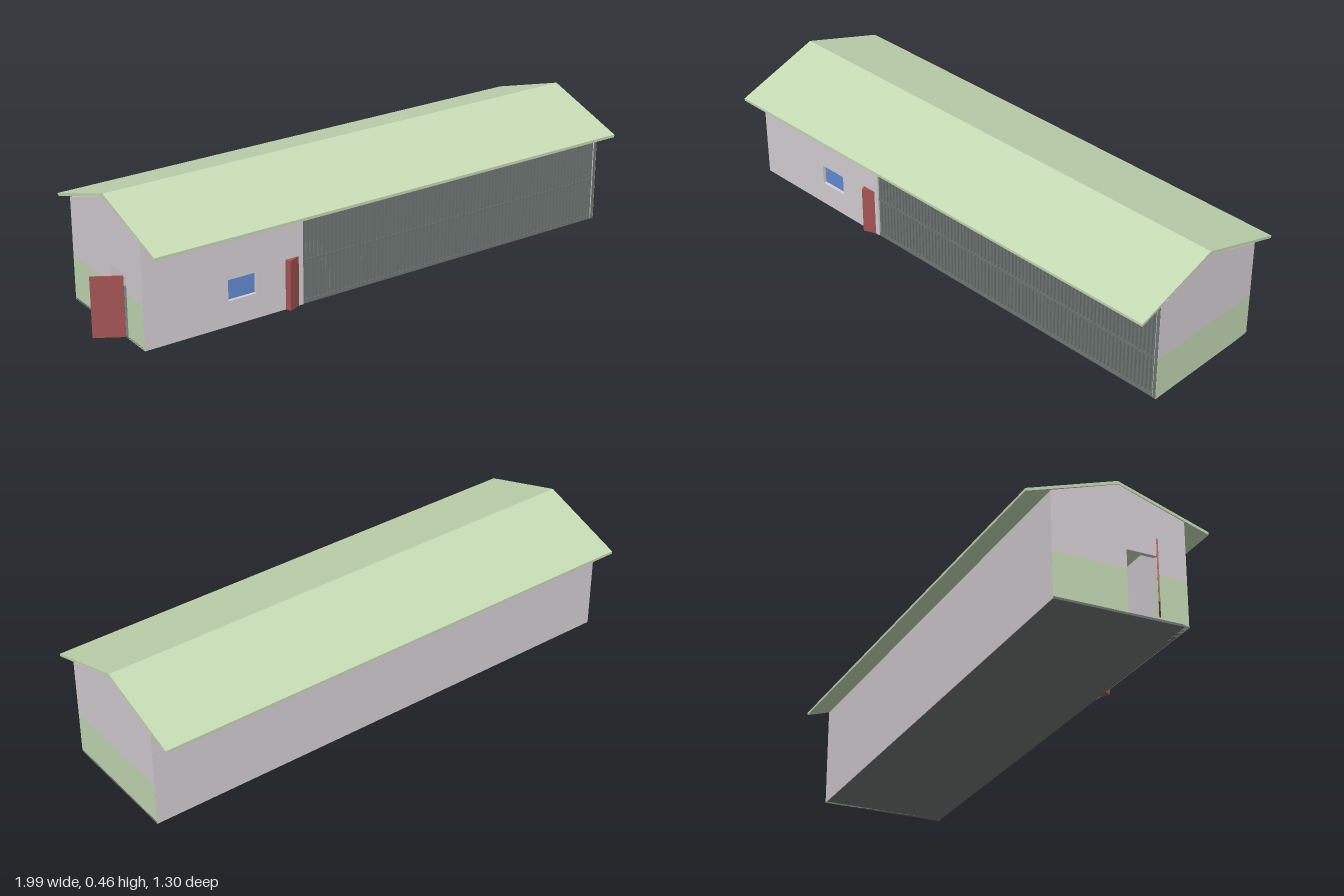
import * as THREE from 'three';

const mat = (name, color, side = THREE.FrontSide) => {
  const m = new THREE.MeshStandardMaterial({ color, side });
  m.name = name;
  return m;
};

export function createModel() {
  const wallPaint = mat('pale wall', 0xd6d0d5);
  const green = mat('pale green', 0xc6dab4);
  const steel = mat('dark grey', 0x6f7673);
  const red = mat('door red', 0xa45353);
  const blue = mat('window blue', 0x638cd4);

  const L = 0.945, W = 0.2345, T = 0.015;       // half length, half width, wall thickness
  const EAVE = 0.323, TOP = 0.371, BAND = 0.16; // roof half width, wall top, painted band
  const FENCE = -0.341;                         // where the barred front begins

  const root = new THREE.Group();
  root.name = 'barn';
  const barn = new THREE.Group();
  barn.name = 'building';
  barn.rotation.y = 0.3796;                     // the building stands turned on its plot
  root.add(barn);

  const add = (name, geometry, material, x = 0, y = 0, z = 0, ry = 0) => {
    const m = new THREE.Mesh(geometry, material);
    m.name = name;
    m.position.set(x, y, z);
    m.rotation.y = ry;
    barn.add(m);
    return m;
  };
  // box given by its limits
  const block = (name, material, x0, x1, y0, y1, z0, z1) =>
    add(name, new THREE.BoxGeometry(x1 - x0, y1 - y0, z1 - z0), material,
      (x0 + x1) / 2, (y0 + y1) / 2, (z0 + z1) / 2);
  const polygon = pts => new THREE.Shape(pts.map(p => new THREE.Vector2(...p)));
  const extrude = (shape, depth) => new THREE.ExtrudeGeometry(shape, { depth, bevelEnabled: false });

  // floor slab
  block('floor', steel, -L + 0.001, L - 0.001, 0, 0.008, -W + 0.001, W - 0.001);

  // roof: a thin chevron swept along the length
  const roof = polygon([[-EAVE, 0.345], [0, 0.45], [EAVE, 0.345], [EAVE, 0.355], [0, 0.461], [-EAVE, 0.355]]);
  add('roof', extrude(roof, 2 * L), green, -L, 0, 0, Math.PI / 2);

  // gable ends; shape x runs along -z
  const d0 = -0.129, d1 = -0.023, doorTop = 0.225;
  const gableTop = [[W, TOP], [0, 0.449], [-W, TOP], [-W, BAND]];
  const notch = [[d0, BAND], [d0, doorTop], [d1, doorTop], [d1, BAND]];
  const rightGable = polygon([[W, BAND], ...gableTop]);
  const leftGable = polygon([[W, BAND], ...gableTop, ...notch]);
  add('rightGable', extrude(rightGable, T), wallPaint, L - T - 0.001, 0, 0, Math.PI / 2);
  add('leftGable', extrude(leftGable, T), wallPaint, -L + 0.001, 0, 0, Math.PI / 2);
  block('rightGableBand', green, L - T - 0.001, L - 0.001, 0, BAND, -W, W);
  block('leftGableBandBack', green, -L + 0.001, -L + T, 0, BAND, -W, -d1);
  block('leftGableBandFront', green, -L + 0.001, -L + T, 0, BAND, -d0, W);

  // long back wall with a dark inner lining
  block('backWall', wallPaint, -L + 0.002, L - 0.002, 0, TOP, -W - 0.001, -W + T);
  block('backLining', steel, FENCE, L - T - 0.002, 0.008, TOP, -W + T, -W + T + 0.004);
  block('endLining', steel, L - T - 0.005, L - T - 0.001, 0.008, TOP, -W + T, W - T);

  // closed part of the front, with a window opening
  const wx0 = -0.632, wx1 = -0.524, wy0 = 0.09, wy1 = 0.165;
  const front = polygon([[-L + 0.002, 0], [FENCE, 0], [FENCE, TOP], [-L + 0.002, TOP]]);
  front.holes.push(new THREE.Path([[wx0, wy0], [wx0, wy1], [wx1, wy1], [wx1, wy0]]
    .map(p => new THREE.Vector2(...p))));
  add('frontWall', extrude(front, T + 0.001), wallPaint, 0, 0, W - T);
  block('windowPane', blue, wx0, wx1, wy0, wy1, W - T, W - T + 0.004);

  // barred front: uprights, rails and corner posts
  const bars = 80, pitch = (L - 0.012 - FENCE) / bars;
  const bar = new THREE.BoxGeometry(0.0095, TOP - 0.004, 0.009);
  for (let i = 0; i < bars; i++) {
    add('fenceBar', bar, steel, FENCE + (i + 0.5) * pitch, TOP / 2 + 0.002, W - 0.007);
  }
  for (const y of [0.008, 0.155, 0.362]) {
    block('fenceRail', steel, FENCE, L - 0.012, y - 0.004, y + 0.004, W - 0.012, W - 0.002);
  }
  block('cornerPost', steel, L - 0.014, L - 0.002, 0, TOP, W - 0.013, W + 0.0005);

  // doors standing open
  add('sideDoor', new THREE.BoxGeometry(0.064, 0.18, 0.028), red, -0.379, 0.09, 0.229, 0.405);
  add('gableDoor', new THREE.BoxGeometry(0.107, 0.215, 0.005), red, -0.998, 0.1175, 0.1, -0.54);

  return root;
}
